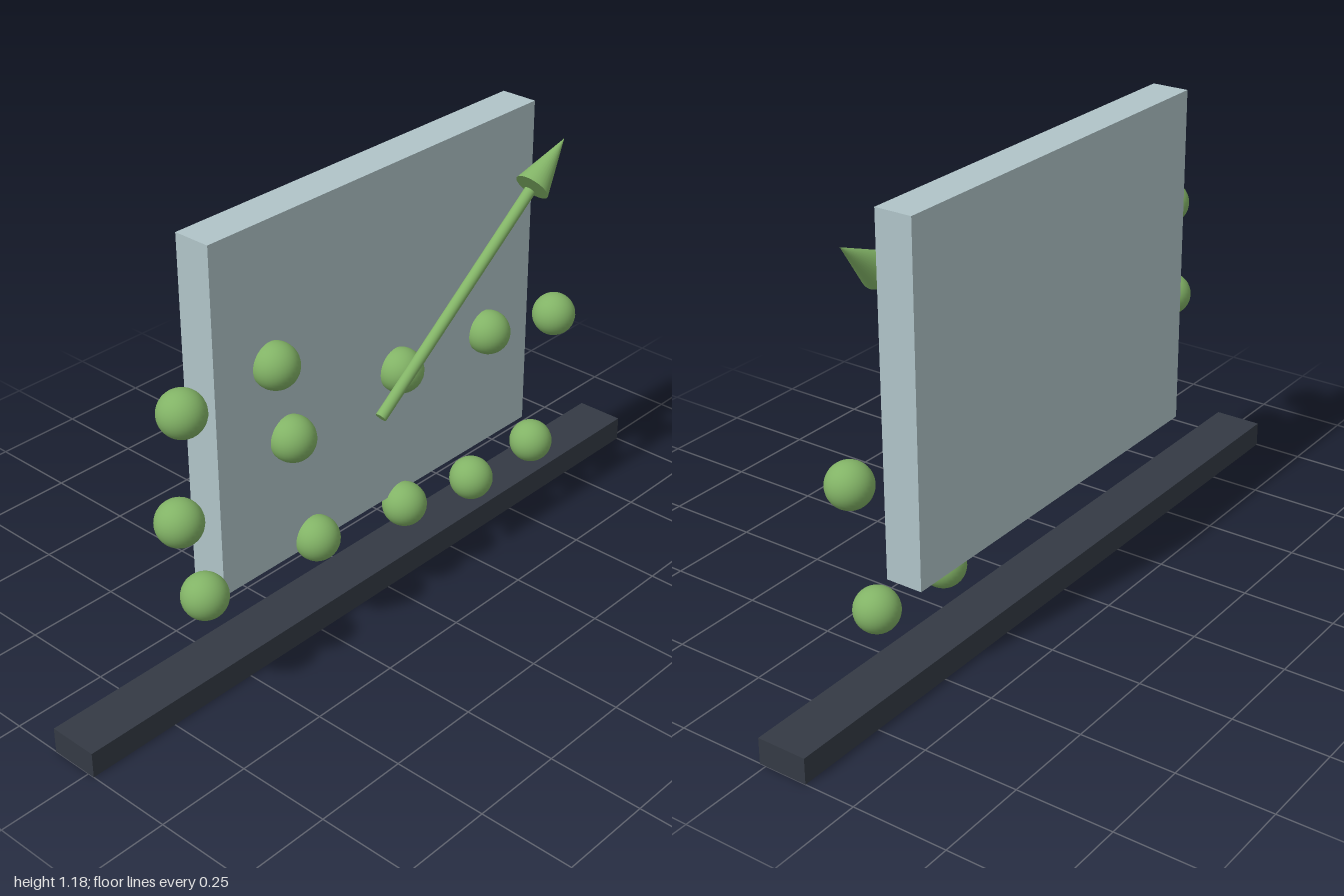
import * as THREE from 'three';

export function createModel() {
  const model = new THREE.Group();
  const material = (name, color) => {
    const m = new THREE.MeshStandardMaterial({ color });
    m.name = name;
    return m;
  };
  const paleBlue = material('pale blue grey', 0xb0c4c8);
  const charcoal = material('charcoal', 0x343a44);
  const green = material('leaf green', 0x82b366);

  const add = (name, geometry, mat, x, y, z, parent = model) => {
    const mesh = new THREE.Mesh(geometry, mat);
    mesh.name = name;
    mesh.position.set(x, y, z);
    parent.add(mesh);
    return mesh;
  };

  // Base bar and upright panel
  add('baseBar', new THREE.BoxGeometry(2, 0.068, 0.133), charcoal, 0, 0.034, -0.0485);
  add('panel', new THREE.BoxGeometry(1.12, 0.916, 0.1), paleBlue, 0, 0.72, -0.047);

  // Balls scattered in three loose rows
  const ball = new THREE.SphereGeometry(0.058, 32, 20);
  const spots = [
    [-0.674, 0.82], [-0.385, 0.82],
    [-0.70, 0.548], [-0.337, 0.605], [0.043, 0.63], [0.38, 0.602], [0.658, 0.547],
    [-0.636, 0.313], [-0.262, 0.287], [0.059, 0.231], [0.326, 0.184], [0.58, 0.185],
  ];
  spots.forEach(([x, y], i) => add(`ball${i + 1}`, ball, green, x, y, 0.02));

  // Arrow, built along +y and then tilted up to the right
  const arrow = new THREE.Group();
  arrow.name = 'arrow';
  arrow.position.set(-0.085, 0.57, 0.07);
  arrow.rotation.z = Math.atan2(0.6, 0.8) - Math.PI / 2;
  model.add(arrow);
  add('arrowShaft', new THREE.CylinderGeometry(0.015, 0.015, 0.69, 24), green, 0, 0.345, 0, arrow);
  add('arrowHead', new THREE.ConeGeometry(0.046, 0.155, 32), green, 0, 0.7785, 0, arrow);

  return model;
}
